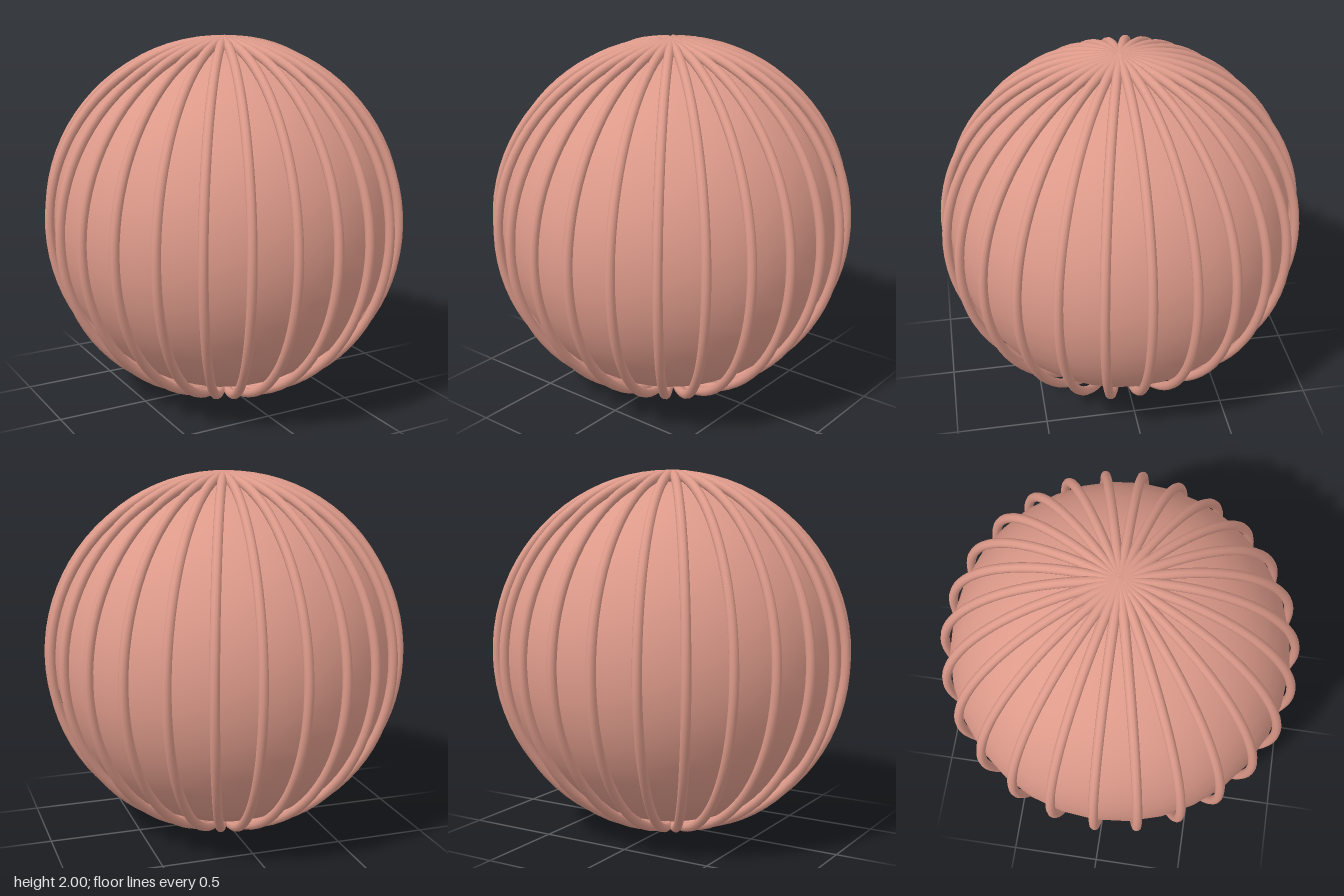
import * as THREE from 'three';

const RINGS = 13;      // each ring gives two opposite ribs
const TUBE = 0.025;

// Closed upright ring, slightly taller than wide and leaning a little
class RingCurve extends THREE.Curve {
  getPoint(t, target = new THREE.Vector3()) {
    const a = t * Math.PI * 2;
    const r = 0.969 - 0.006 * Math.cos(2 * a) + 0.007 * Math.sin(2 * a);
    return target.set(r * Math.cos(a), r * Math.sin(a), 0);
  }
}

export function createModel() {
  const model = new THREE.Group();
  model.name = 'ribbedBall';
  const material = new THREE.MeshStandardMaterial({ color: 0xdd9a8a });

  // Smooth inner ball
  const ball = new THREE.Mesh(new THREE.SphereGeometry(0.935, 32, 24), material);
  ball.name = 'innerBall';
  ball.position.y = 1;
  model.add(ball);

  // Ribs running from pole to pole
  const ribs = new THREE.Group();
  ribs.name = 'ribs';
  ribs.position.y = 1;
  const ringGeometry = new THREE.TubeGeometry(new RingCurve(), 80, TUBE, 10, true);
  for (let i = 0; i < RINGS; i++) {
    const ring = new THREE.Mesh(ringGeometry, material);
    ring.name = `ribRing${i + 1}`;
    ring.rotation.y = (i * Math.PI) / RINGS;
    ribs.add(ring);
  }
  model.add(ribs);

  return model;
}
